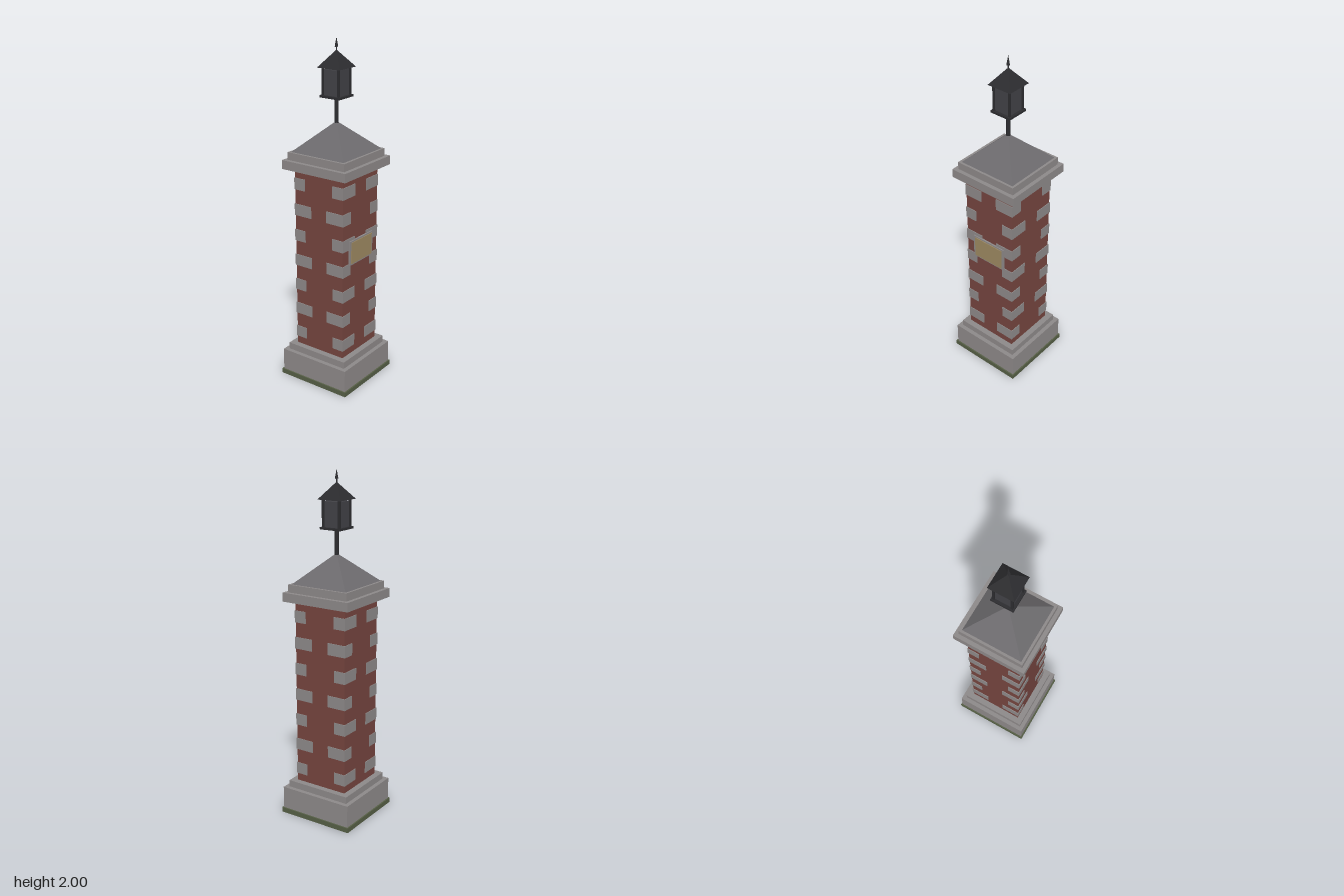
import * as THREE from 'three';

const mat = (color) => new THREE.MeshStandardMaterial({ color, flatShading: true });

export function createModel() {
  const group = new THREE.Group();
  const stone = mat(0x8c8888), brick = mat(0x74443e), slate = mat(0x6c6a6d);
  const iron = mat(0x2c2c2f), glass = mat(0x414146), brass = mat(0x9c8860), moss = mat(0x555e45);

  const add = (name, geometry, material, x, y, z) => {
    const mesh = new THREE.Mesh(geometry, material);
    mesh.name = name;
    mesh.position.set(x, y, z);
    group.add(mesh);
    return mesh;
  };
  // square block centred on the axis, from y0 to y1
  const block = (name, half, y0, y1, material) =>
    add(name, new THREE.BoxGeometry(half * 2, y1 - y0, half * 2), material, 0, (y0 + y1) / 2, 0);
  // four-sided pyramid with its sides along the axes
  const pyramid = (name, half, y0, y1, material) =>
    add(name, new THREE.ConeGeometry(half * Math.SQRT2, y1 - y0, 4).rotateY(Math.PI / 4),
      material, 0, (y0 + y1) / 2, 0);

  // stepped base
  block('mossStrip', 0.233, 0, 0.028, moss);
  block('plinth', 0.225, 0.002, 0.16, stone);
  block('plinthStep', 0.2, 0.16, 0.2, stone);

  // brick shaft with corner stones, long and short sides alternating
  block('brickShaft', 0.164, 0.2, 1.285, brick);
  const face = 0.168;
  for (let row = 0; row < 7; row++) {
    const w = row % 2 ? 0.073 : 0.115, d = row % 2 ? 0.115 : 0.073;
    const geometry = new THREE.BoxGeometry(w, 0.068, d);
    for (const sx of [-1, 1]) for (const sz of [-1, 1]) {
      add('cornerStone', geometry, stone, sx * (face - w / 2), 0.279 + row * 0.153, sz * (face - d / 2));
    }
  }

  // plaque on the front
  add('plaqueFrame', new THREE.BoxGeometry(0.22, 0.144, 0.022), stone, 0, 0.835, 0.163);
  add('plaque', new THREE.BoxGeometry(0.195, 0.126, 0.02), brass, 0, 0.835, 0.168);

  // stepped cap and roof
  block('capSlab', 0.215, 1.284, 1.335, stone);
  block('capStep', 0.192, 1.335, 1.379, stone);
  pyramid('capRoof', 0.178, 1.379, 1.545, slate);

  // lantern
  add('lampPole', new THREE.CylinderGeometry(0.012, 0.012, 0.17, 8), iron, 0, 1.6, 0);
  block('lanternBase', 0.066, 1.678, 1.69, iron);
  block('lanternGlass', 0.05, 1.69, 1.83, glass);
  const post = new THREE.BoxGeometry(0.012, 0.152, 0.012);
  for (const sx of [-1, 1]) for (const sz of [-1, 1]) {
    add('lanternPost', post, iron, sx * 0.052, 1.765, sz * 0.052);
  }
  pyramid('lanternRoof', 0.075, 1.839, 1.932, iron);

  // spike at the top
  add('finialStem', new THREE.CylinderGeometry(0.004, 0.004, 0.04, 6), iron, 0, 1.935, 0);
  add('finialSpike', new THREE.ConeGeometry(0.012, 0.052, 4), iron, 0, 1.974, 0);

  return group;
}
